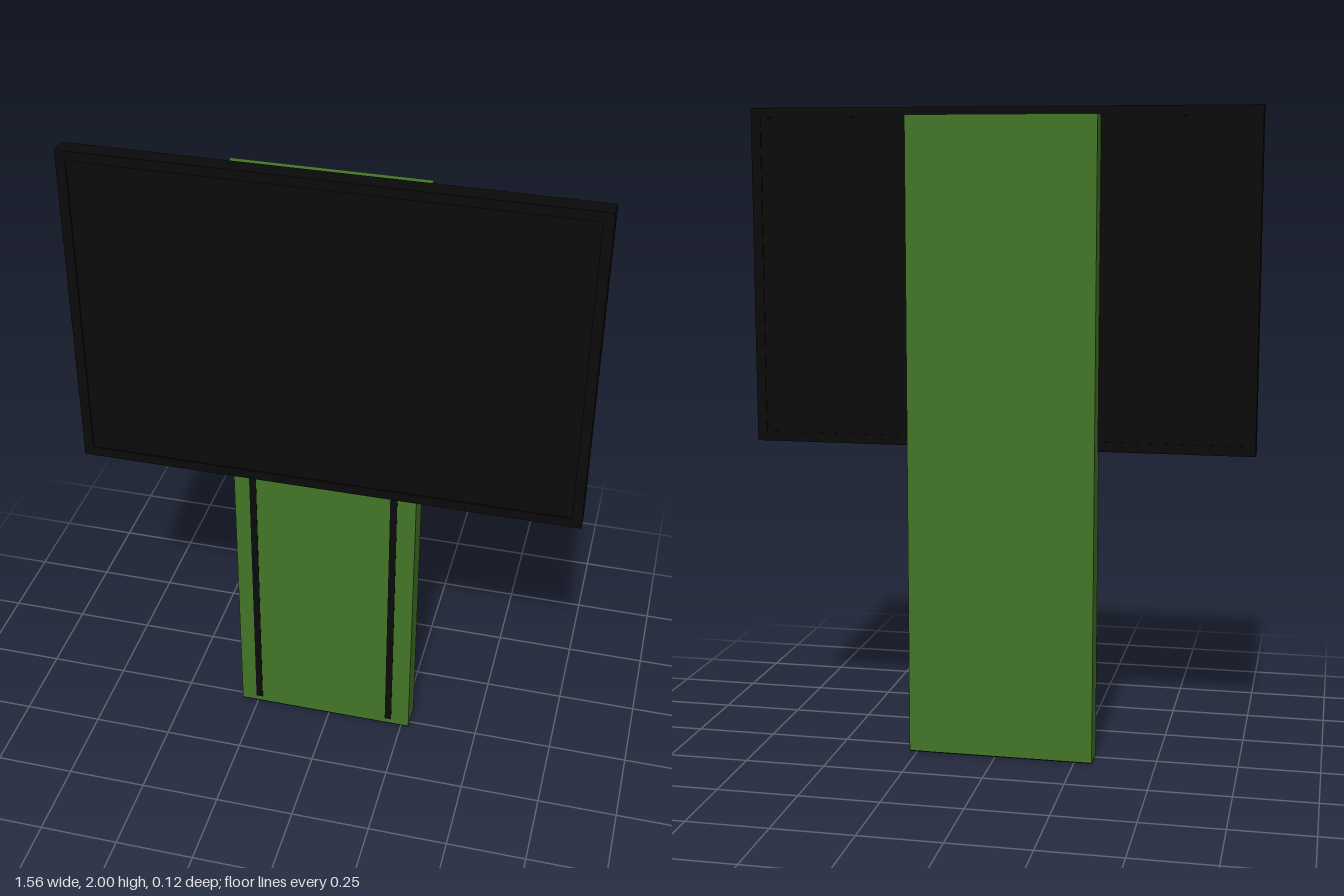
import * as THREE from 'three';

export function createModel() {
  const group = new THREE.Group();
  const green = new THREE.MeshStandardMaterial({ color: 0x437526 });
  const black = new THREE.MeshStandardMaterial({ color: 0x0a0a0a });

  // Box given by its minimum and maximum corners
  function box(name, material, [x0, y0, z0], [x1, y1, z1]) {
    const mesh = new THREE.Mesh(new THREE.BoxGeometry(x1 - x0, y1 - y0, z1 - z0), material);
    mesh.position.set((x0 + x1) / 2, (y0 + y1) / 2, (z0 + z1) / 2);
    mesh.name = name;
    group.add(mesh);
  }

  // Upright slab with a thin dark foot
  box('post', green, [-0.305, 0.003, -0.0625], [0.275, 1.975, 0.023]);
  box('foot', black, [-0.305, 0, -0.0625], [0.275, 0.003, 0.023]);

  // Two dark strips running up the face of the post
  for (const x of [-0.245, 0.205]) {
    box('strip', black, [x - 0.011, 0.02, 0.015], [x + 0.011, 1.0, 0.0245]);
  }

  // Panel: rectangular frame around a slightly recessed screen
  const w = 0.78, bottom = 0.967, top = 2, back = 0.007, front = 0.0625, rim = 0.03;
  const rect = (target, x, y0, y1) => {
    target.moveTo(-x, y0).lineTo(x, y0).lineTo(x, y1).lineTo(-x, y1).closePath();
    return target;
  };
  const shape = rect(new THREE.Shape(), w, bottom, top);
  shape.holes.push(rect(new THREE.Path(), w - rim, bottom + rim, top - rim));
  const frame = new THREE.Mesh(
    new THREE.ExtrudeGeometry(shape, { depth: front - back, bevelEnabled: false }), black);
  frame.position.z = back;
  frame.name = 'frame';
  group.add(frame);
  box('screen', black, [-w + rim, bottom + rim, back + 0.003], [w - rim, top - rim, front - 0.004]);

  return group;
}
